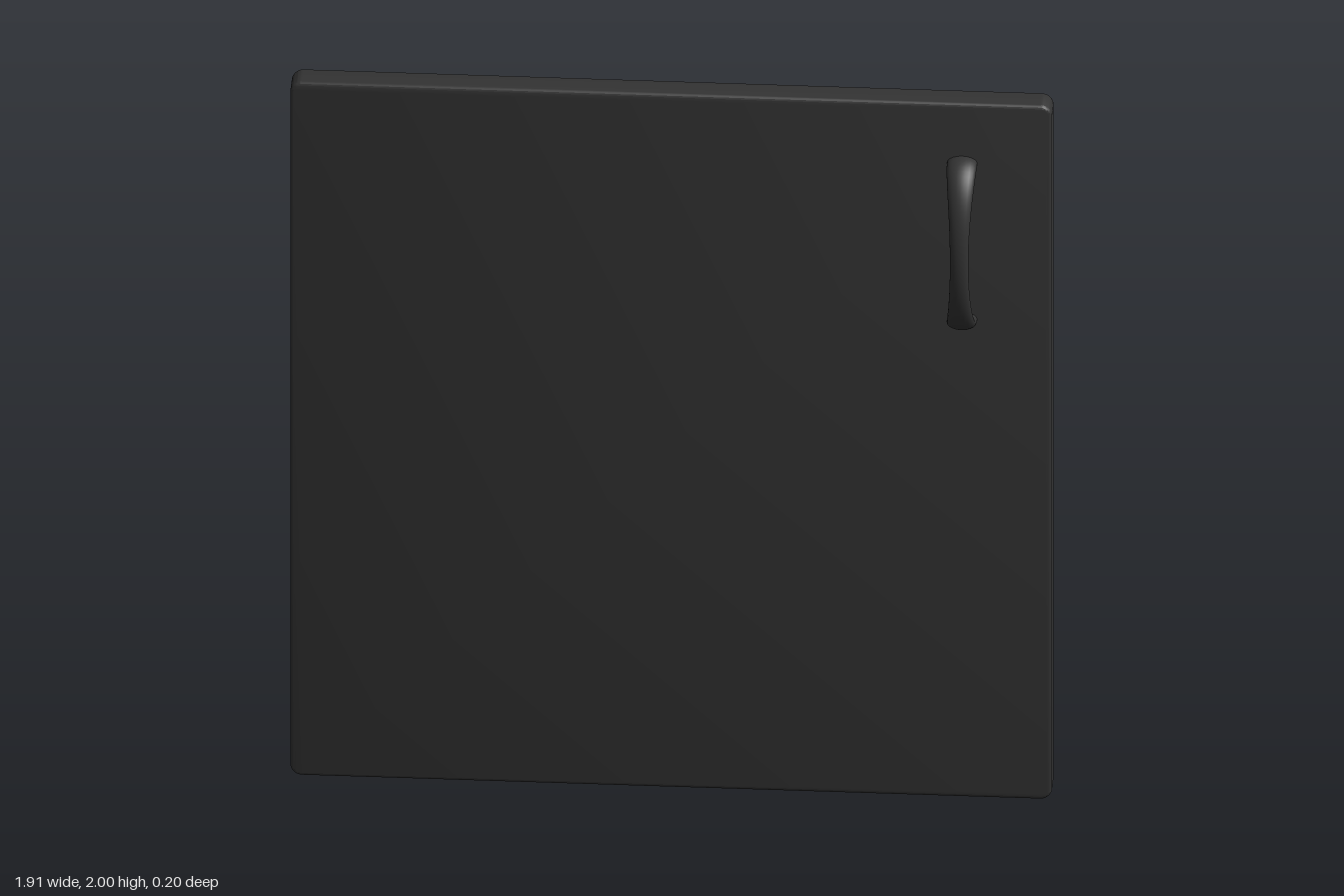
import * as THREE from 'three';
import { mergeVertices, toCreasedNormals } from 'three/addons/utils/BufferGeometryUtils.js';

const material = new THREE.MeshStandardMaterial({ color: 0x333333 });

// Rounded slab with softly bevelled edges
function createPanel() {
  const bevel = 0.008, w = 0.955 - bevel, h = 1 - bevel, r = 0.022;
  const front = -0.03, back = -0.103;
  const shape = new THREE.Shape();
  shape.absarc(w - r, h - r, r, 0, Math.PI / 2);
  shape.absarc(-w + r, h - r, r, Math.PI / 2, Math.PI);
  shape.absarc(-w + r, -h + r, r, Math.PI, Math.PI * 1.5);
  shape.absarc(w - r, -h + r, r, Math.PI * 1.5, Math.PI * 2);
  const geometry = new THREE.ExtrudeGeometry(shape, {
    depth: front - back - 2 * bevel, bevelSize: bevel, bevelThickness: bevel,
    bevelSegments: 3, curveSegments: 6,
  });
  geometry.translate(0, 1, back + bevel);
  const panel = new THREE.Mesh(toCreasedNormals(geometry, 0.6), material);
  panel.name = 'doorPanel';
  return panel;
}

// Bow handle: a tube bent along a half ellipse, slim in the middle and flared at both feet
function createHandle() {
  const ry = 0.225, rz = 0.1175;
  let geometry = new THREE.CylinderGeometry(1, 1, 1, 20, 40, true);
  geometry.deleteAttribute('normal');
  geometry.deleteAttribute('uv');
  geometry = mergeVertices(geometry);
  const p = geometry.attributes.position;
  for (let i = 0; i < p.count; i++) {
    const a = p.getY(i) * Math.PI * 1.05; // feet sink slightly into the panel
    const s = Math.sin(a), c = Math.cos(a);
    const normal = new THREE.Vector2(s / ry, c / rz).normalize();
    const thickness = (0.0125 + 0.0075 * s * s) * p.getZ(i);
    const width = (0.023 + 0.015 * s * s) * p.getX(i);
    p.setXYZ(i, width, ry * s + normal.x * thickness, rz * c + normal.y * thickness);
  }
  geometry.computeVertexNormals();
  const handle = new THREE.Mesh(geometry, material);
  handle.name = 'handle';
  handle.position.set(0.73, 1.605, -0.03);
  return handle;
}

export function createModel() {
  const door = new THREE.Group();
  door.name = 'cabinetDoor';
  door.add(createPanel(), createHandle());
  return door;
}
